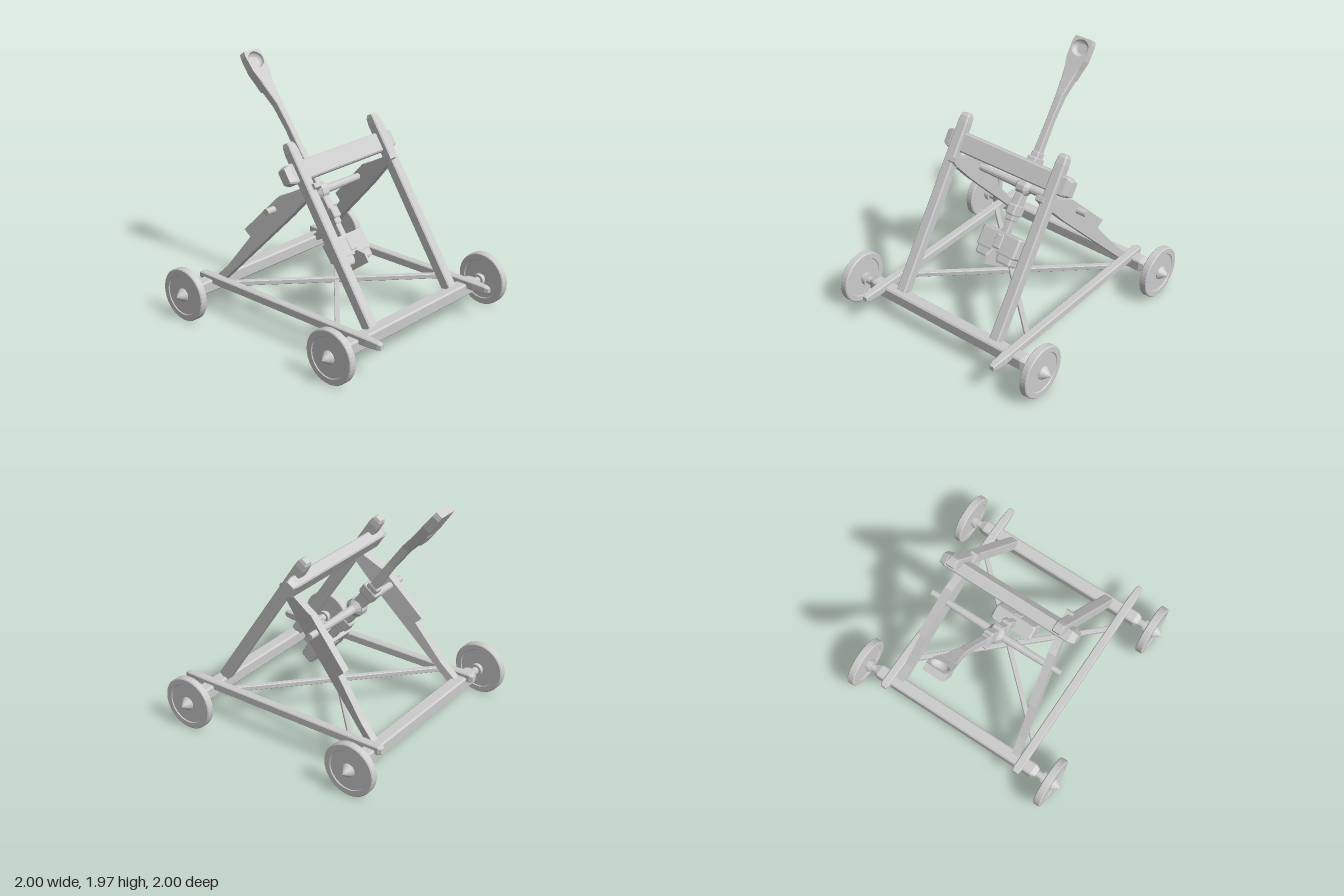
import * as THREE from 'three';

const wood = new THREE.MeshStandardMaterial({ color: 0xcccccc, flatShading: true });
const smooth = new THREE.MeshStandardMaterial({ color: 0xcccccc, side: THREE.DoubleSide });

// Chamfered-rectangle loft along +Y. Sections: [y, halfX, halfZ, offsetX = 0]
function loft(sections, chamfer = 0.22) {
  const pos = [], idx = [], n = 8;
  for (const [y, a, b, o = 0] of sections) {
    const c = chamfer * Math.min(a, b);
    const ring = [[a, c - b], [a, b - c], [a - c, b], [c - a, b], [-a, b - c], [-a, c - b], [c - a, -b], [a - c, -b]];
    for (const [x, q] of ring) pos.push(x + o, y, -q);
  }
  const top = (sections.length - 1) * n;
  for (let r = 0; r < top; r += n)
    for (let i = 0; i < n; i++) {
      const j = (i + 1) % n;
      idx.push(r + i, r + j, r + n + j, r + i, r + n + j, r + n + i);
    }
  for (let i = 1; i < n - 1; i++) idx.push(0, i + 1, i, top, top + i, top + i + 1);
  const g = new THREE.BufferGeometry();
  g.setAttribute('position', new THREE.Float32BufferAttribute(pos, 3));
  g.setIndex(idx);
  const flat = g.toNonIndexed();
  flat.computeVertexNormals();
  return flat;
}

// Centred beam with tapered ends
function beam(len, a, b, tip = 0.03, k = 0.7) {
  const h = len / 2;
  return loft([[-h, a * k, b * k], [-h + tip, a, b], [h - tip, a, b], [h, a * k, b * k]]);
}

function add(parent, name, geometry, material = wood) {
  const m = new THREE.Mesh(geometry, material);
  m.name = name;
  parent.add(m);
  return m;
}

function polygon(points) {
  return new THREE.Shape(points.map(([x, y]) => new THREE.Vector2(x, y)));
}

function plate(shape, depth) {
  return new THREE.ExtrudeGeometry(shape, { depth, bevelEnabled: false, curveSegments: 24 });
}

function makeWheel() {
  const wheel = new THREE.Group();
  const lathe = (name, pts) => add(wheel, name, new THREE.LatheGeometry(pts.map(p => new THREE.Vector2(...p)), 40), wood);
  lathe('wheelDisc', [[0, -0.025], [0.16, -0.025], [0.165, -0.032], [0.207, -0.032], [0.215, -0.025],
    [0.215, 0.025], [0.207, 0.032], [0.165, 0.032], [0.16, 0.025], [0, 0.025]]);
  lathe('hubCap', [[0.055, 0.02], [0.055, 0.032], [0.02, 0.078], [0, 0.095]]);
  lathe('axleCollar', [[0, -0.075], [0.052, -0.075], [0.052, -0.045], [0.04, -0.045], [0.04, -0.02]]);
  lathe('axleShaft', [[0.032, -0.13], [0.032, -0.07]]);
  return wheel;
}

function makeArm() {
  const arm = new THREE.Group();
  arm.name = 'throwingArm';
  add(arm, 'armShaft', loft([[-0.6, 0.03, 0.025], [-0.4, 0.033, 0.028], [0.3, 0.034, 0.03, 0.005],
    [0.55, 0.03, 0.027, 0.012], [0.76, 0.034, 0.032, 0.009], [0.9, 0.037, 0.05, -0.008], [1.0, 0.04, 0.066, -0.018]]));

  // Spoon-shaped head with a bowl in its upper face
  const outline = [[0.045, 0.9], [0.062, 0.98], [0.085, 1.07], [0.088, 1.2], [0.078, 1.24]];
  const full = [...outline, ...outline.map(([x, y]) => [-x, y]).reverse()];
  const head = new THREE.Group();
  head.name = 'cup';
  const rim = polygon(full);
  rim.holes.push(new THREE.Path().absellipse(0, 1.155, 0.074, 0.068, 0, Math.PI * 2, true));
  const bendHead = g => {
    g.rotateY(Math.PI / 2);
    const p = g.attributes.position;
    for (let i = 0; i < p.count; i++) {
      const t = Math.max(0, (p.getY(i) - 1.0) / 0.24);
      p.setX(i, -0.018 + (p.getX(i) + 0.018) * (1 - 0.25 * t));
    }
    g.computeVertexNormals();
    return g;
  };
  add(head, 'cupRim', bendHead(plate(rim, 0.05).translate(0, 0, -0.03)));
  add(head, 'cupBase', bendHead(plate(polygon(full), 0.028).translate(0, 0, -0.058)));
  const bowl = add(head, 'cupBowl', new THREE.SphereGeometry(1, 24, 8, 0, Math.PI * 2, Math.PI / 2, Math.PI / 2), smooth);
  bowl.scale.set(0.068, 0.045, 0.074);
  bowl.rotation.z = -Math.PI / 2;
  bowl.position.set(0.008, 1.155, 0);
  arm.add(head);

  // Sleeves and bands either side of the pivot
  for (const s of [1, -1]) {
    add(arm, 'sleeve', beam(0.24, 0.048, 0.034, 0.01, 0.9)).position.y = s * 0.17;
    add(arm, 'band', beam(0.09, 0.07, 0.04, 0.01, 0.9)).position.y = s * 0.2;
  }
  const hub = add(arm, 'pivotHub', new THREE.CylinderGeometry(0.075, 0.075, 0.07, 12));
  hub.rotation.x = Math.PI / 2;
  for (const s of [1, -1]) {
    const cone = add(arm, 'hubShoulder', new THREE.CylinderGeometry(0.035, 0.07, 0.03, 12));
    cone.rotation.x = s * Math.PI / 2;
    cone.position.z = s * 0.05;
  }

  // Counterweight block with split lower cheeks
  const weight = add(arm, 'counterweight', beam(0.17, 0.062, 0.185, 0.012, 0.94));
  weight.position.y = -0.475;
  for (const s of [1, -1]) {
    const cheek = add(arm, 'weightCheek', beam(0.08, 0.058, 0.07, 0.015, 0.88));
    cheek.position.set(0, -0.585, s * 0.1);
  }
  add(arm, 'weightClasp', beam(0.12, 0.07, 0.035, 0.01, 0.9)).position.y = -0.47;
  return arm;
}

export function createModel() {
  const model = new THREE.Group();
  model.name = 'catapult';
  const frame = new THREE.Group();
  frame.name = 'frame';
  frame.position.z = -0.006;
  model.add(frame);

  // Wheels and the beams joining them
  for (const x of [-0.785, 0.752]) {
    for (const s of [1, -1]) {
      const wheel = makeWheel();
      wheel.name = 'wheel';
      wheel.rotation.x = s * Math.PI / 2;
      wheel.position.set(x, 0.215, s * 0.903);
      model.add(wheel);
    }
    const axle = add(frame, 'axleBeam', beam(1.57, 0.053, 0.053, 0.04));
    axle.rotation.x = Math.PI / 2;
    axle.position.set(x, 0.218, 0);
  }

  // Diagonal strut outline, widened into a bearing plate halfway up
  const strutShape = polygon([[-0.8, 0.24], [-0.71, 0.24], [-0.05, 0.935], [0.15, 1.165], [0.19, 1.225],
    [0.17, 1.255], [0.12, 1.225], [-0.1, 1.105], [-0.14, 1.09], [-0.475, 0.74], [-0.42, 0.69], [-0.65, 0.39]]);

  for (const s of [1, -1]) {
    const rail = add(frame, 'sideRail', loft([[-0.89, 0.022, 0.022], [-0.86, 0.034, 0.034], [0.86, 0.034, 0.034],
      [0.97, 0.028, 0.027], [1.0, 0.018, 0.018]]));
    rail.rotation.z = -Math.PI / 2;
    rail.position.set(0, 0.268, s * 0.638);

    const post = add(frame, 'post', loft([[-0.74, 0.045, 0.043], [0.67, 0.045, 0.043], [0.72, 0.04, 0.038], [0.745, 0.026, 0.03]]));
    post.rotation.z = Math.atan2(0.55, 0.835);
    post.position.set(0.33, 0.89, s * 0.469);

    const g = plate(strutShape, 0.066).translate(0, 0, -0.033);
    const p = g.attributes.position;
    for (let i = 0; i < p.count; i++)
      p.setZ(i, p.getZ(i) + s * (0.565 - 0.144 * (p.getX(i) + 0.78)));
    g.computeVertexNormals();
    add(frame, 'diagonalStrut', g);

    // Crossed floor braces
    const brace = add(frame, 'floorBrace', beam(1.7, 0.02, 0.02, 0.01));
    brace.rotation.set(0, s * 0.825, -Math.PI / 2, 'YXZ');
    brace.position.set(-0.02, s * 0.008 + 0.262, 0);

    // Pivot rod halves, thicker toward the middle
    const rod = add(frame, 'pivotRod', new THREE.CylinderGeometry(0.026, 0.036, 0.595, 12));
    rod.rotation.x = s * Math.PI / 2;
    rod.position.set(-0.195, 0.968, s * 0.2975);
  }

  // Stop bar across the posts
  const bar = add(frame, 'stopBar', beam(1.2, 0.05, 0.077, 0.05, 0.75));
  bar.rotation.set(Math.PI / 2, 0, Math.atan2(0.55, 0.835), 'ZYX');
  bar.position.set(0.006, 1.297, 0);

  const arm = makeArm();
  arm.position.set(-0.195, 0.968, -0.003);
  arm.rotation.z = 0.637;
  model.add(arm);

  // Thin fin under the counterweight
  const fin = polygon([[0.14, 0.53], [0.2, 0.59], [0.28, 0.58], [0.32, 0.52], [0.19, 0.425], [0.1, 0.355], [0.05, 0.42], [0.075, 0.5]]);
  add(model, 'weightFin', plate(fin, 0.018).translate(0, 0, -0.012));
  return model;
}
